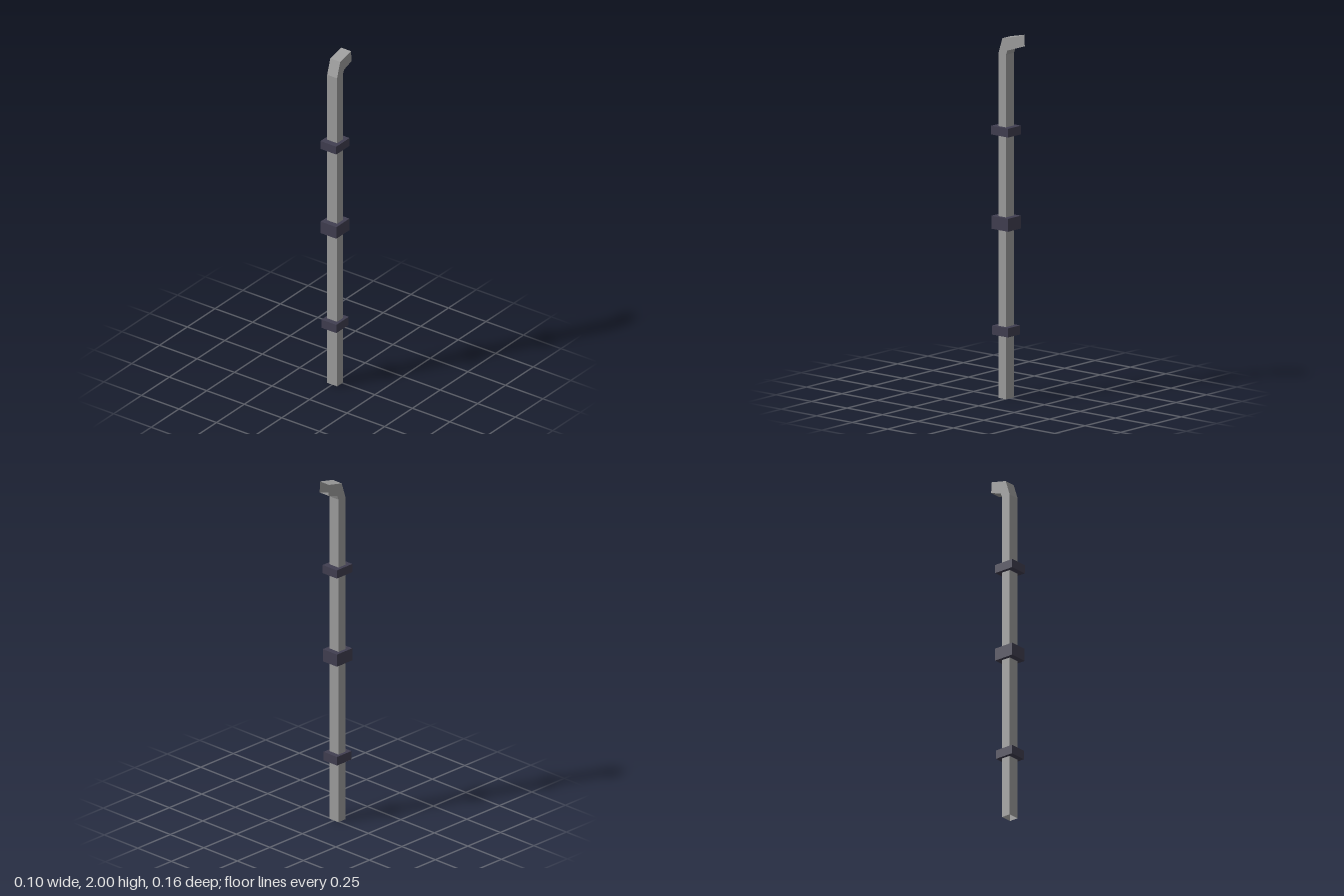
import * as THREE from 'three';

const pipeGrey = new THREE.MeshStandardMaterial({ color: 0x9c9c9c, side: THREE.DoubleSide });
const bracketSlate = new THREE.MeshStandardMaterial({ color: 0x403e50 });

// Open rectangular duct skinned through sections of [outer z, outer y, inner z, inner y]
function duct(sections, halfWidth) {
  const rings = sections.map(([oz, oy, iz, iy]) => [
    [-halfWidth, oy, oz], [halfWidth, oy, oz], [halfWidth, iy, iz], [-halfWidth, iy, iz],
  ]);
  const positions = [];
  for (let i = 0; i < rings.length - 1; i++) {
    for (let k = 0; k < 4; k++) {
      const n = (k + 1) % 4;
      const a = rings[i][k], b = rings[i][n], c = rings[i + 1][n], d = rings[i + 1][k];
      positions.push(...a, ...b, ...c, ...a, ...c, ...d);
    }
  }
  const geometry = new THREE.BufferGeometry();
  geometry.setAttribute('position', new THREE.Float32BufferAttribute(positions, 3));
  geometry.computeVertexNormals();
  return geometry;
}

export function createModel() {
  const group = new THREE.Group();
  group.name = 'drainpipe';

  // Straight pipe with a bent, open spout at the top
  const pipe = new THREE.Mesh(duct([
    [0.047, 0, -0.006, 0],
    [0.047, 1.89, -0.006, 1.89],
    [0.019, 1.978, -0.016, 1.915],
    [-0.079, 2.0, -0.083, 1.937],
  ], 0.033), pipeGrey);
  pipe.name = 'pipe';
  group.add(pipe);

  // Collars: [name, bottom, top, width, depth]
  const collars = [
    ['lowerCollar', 0.346, 0.396, 0.1, 0.112],
    ['middleCollar', 0.927, 0.998, 0.105, 0.118],
    ['upperCollar', 1.444, 1.492, 0.105, 0.12],
  ];
  for (const [name, bottom, top, width, depth] of collars) {
    const collar = new THREE.Mesh(new THREE.BoxGeometry(width, top - bottom, depth), bracketSlate);
    collar.name = name;
    collar.position.set(0, (bottom + top) / 2, 0.021);
    group.add(collar);
  }
  return group;
}
